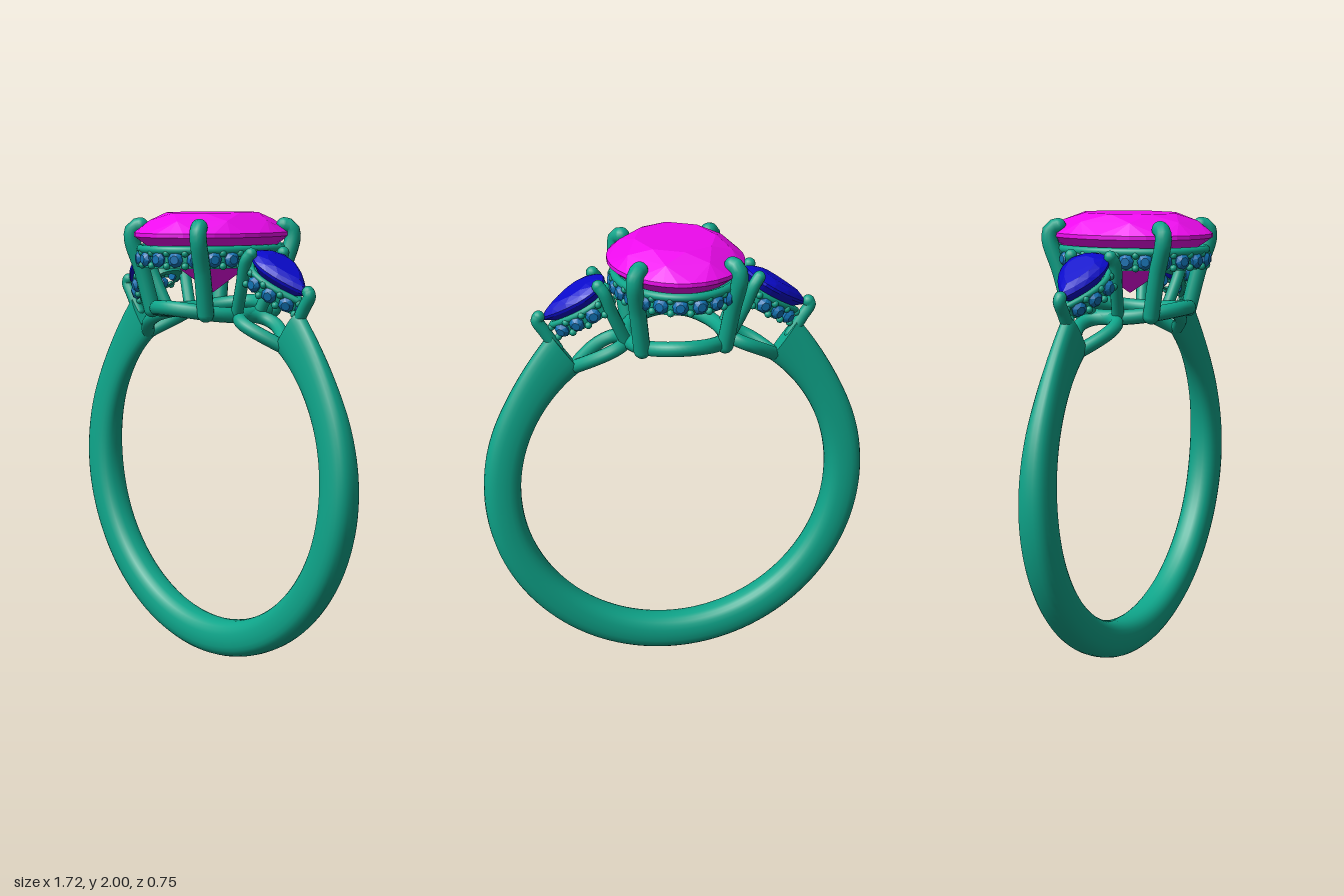
import * as THREE from 'three';
import { toCreasedNormals } from 'three/addons/utils/BufferGeometryUtils.js';
import { ConvexGeometry } from 'three/addons/geometries/ConvexGeometry.js';

const CY = 0.865, INNER = 0.697; // finger hole centre height and radius
const V = (x, y, z) => new THREE.Vector3(x, y, z);
const metal = new THREE.MeshStandardMaterial({ color: 0x0ea58a });
const gemMaterial = (color) => new THREE.MeshStandardMaterial({ color, flatShading: true });
const magenta = gemMaterial(0xee0aee), navy = gemMaterial(0x0a0acc), azure = gemMaterial(0x1173b4);

function add(parent, name, geometry, material = metal) {
  const mesh = new THREE.Mesh(geometry, material);
  mesh.name = name;
  parent.add(mesh);
  return mesh;
}

// Outlines in the xz plane, a = 0 at +x
const oval = (rx, rz) => (a) => V(rx * Math.cos(a), 0, rz * Math.sin(a));
const pear = (rx, rz) => (a) => V(rx * Math.cos(a), 0, 1.3 * rz * Math.sin(a) * Math.sin(a / 2));
const sample = (outline, n, shift = 0) =>
  Array.from({ length: n }, (_, i) => outline(((i + shift) / n) * Math.PI * 2));

// Faceted stone: rows of [scale, height, count, shift] wrapped in a convex hull
function cutStone(outline, rows) {
  const points = [];
  for (const [s, y, n, shift] of rows)
    for (const p of sample(outline, n, shift)) points.push(V(p.x * s, y, p.z * s));
  return new ConvexGeometry(points);
}

// Round wire with domed ends
function prong(parent, name, points, r) {
  const group = new THREE.Group();
  group.name = name;
  parent.add(group);
  add(group, 'wire', new THREE.TubeGeometry(new THREE.CatmullRomCurve3(points), 20, r, 14));
  for (const p of [points[0], points[points.length - 1]])
    add(group, 'dome', new THREE.SphereGeometry(r, 14, 10)).position.copy(p);
}

function closedWire(parent, name, points, r) {
  const curve = new THREE.CatmullRomCurve3(points, true);
  return add(parent, name, new THREE.TubeGeometry(curve, 80, r, 12, true));
}

// Upright wall following an outline, from height y0 to y1
function wall(parent, name, outline, inner, y0, y1) {
  const flat = (o) => sample(o, 64).map((p) => new THREE.Vector2(p.x, -p.z));
  const shape = new THREE.Shape(flat(outline));
  shape.holes.push(new THREE.Path(flat(inner)));
  const geo = new THREE.ExtrudeGeometry(shape, { depth: y1 - y0, bevelEnabled: false });
  geo.rotateX(-Math.PI / 2).translate(0, y0, 0);
  add(parent, name, toCreasedNormals(geo, 0.6));
}

// Small stones facing outwards, with beads between them
const smallStone = cutStone(oval(0.034, 0.034), [[0.55, 0.024, 8, 0], [1, 0.008, 8, 0.5], [0.7, -0.02, 8, 0]]);
const bead = new THREE.SphereGeometry(0.016, 10, 8);
function pave(parent, outline, y, n, minX) {
  const curve = new THREE.CatmullRomCurve3(sample(outline, 48), true);
  const place = (name, geo, mat, t, dy, out) => {
    const p = curve.getPointAt(t), d = curve.getTangentAt(t);
    if (p.x < minX) return;
    const normal = V(d.z, 0, -d.x).normalize();
    const mesh = add(parent, name, geo, mat);
    mesh.position.copy(p).addScaledVector(normal, out).setY(y + dy);
    mesh.quaternion.setFromUnitVectors(V(0, 1, 0), normal);
  };
  for (let i = 0; i < n; i++) {
    place('smallStone', smallStone, azure, (i + 0.5) / n, 0, 0.004);
    for (const dy of [-0.027, 0.027]) place('bead', bead, metal, i / n, dy, 0.008);
  }
}

// Band: a partial torus reshaped so it narrows and rises towards the shoulders
function shankGeometry() {
  const N = 120, start = 36.5;
  const geo = new THREE.TorusGeometry(1, 0.2, 24, N, Math.PI * 2);
  const pos = geo.attributes.position, uv = geo.attributes.uv;
  for (let i = 0; i < pos.count; i++) {
    const step = Math.round(uv.getX(i) * N), v = uv.getY(i) * Math.PI * 2;
    const s = Math.min(Math.max((step - 1) / (N - 2), 0), 1);
    const deg = start + s * (360 - 2 * start);
    const fromTop = Math.min(deg, 360 - deg);
    const rise = Math.max(0, (65 - fromTop) / 28);
    const outer = 0.862 + 0.053 * rise * rise;
    const halfWidth = 0.037 + 0.038 * THREE.MathUtils.smoothstep(fromTop, 30, 105);
    const round = (c) => Math.sign(c) * Math.abs(c) ** 0.8;
    const open = step === 0 || step === N ? 0 : 1; // first and last rings close the ends
    const r = (INNER + outer) / 2 + (open * (outer - INNER) / 2) * round(Math.cos(v));
    const a = THREE.MathUtils.degToRad(90 + deg);
    pos.setXYZ(i, r * Math.cos(a), CY + r * Math.sin(a), open * halfWidth * round(Math.sin(v)));
  }
  return toCreasedNormals(geo, 0.9);
}

// Side setting on +x: pear stone, rail, prongs and lower loop
function sideSetting() {
  const side = new THREE.Group();

  const head = new THREE.Group();
  head.name = 'sideHead';
  head.position.set(0.44, 1.755, 0);
  head.rotation.z = -0.57;
  side.add(head);
  add(head, 'sideStone', cutStone(pear(0.158, 0.106), [
    [0.6, 0.035, 12, 0], [0.85, 0.022, 12, 0.5], [1, 0.006, 24, 0], [1, -0.006, 24, 0],
    [0.6, -0.055, 12, 0.5], [0.1, -0.09, 6, 0]]), navy);
  wall(head, 'sideRailWall', pear(0.142, 0.092), pear(0.108, 0.066), -0.115, -0.045);
  closedWire(head, 'sideRail', sample(pear(0.142, 0.092), 40).map((p) => p.setY(-0.046)), 0.014);
  pave(head, pear(0.142, 0.092), -0.08, 9, -0.11);

  // Teardrop loop bent around the finger hole
  const loop = sample(pear(1, 0.085), 40).map((p) => {
    const a = THREE.MathUtils.degToRad(27.5 + 10 * p.x), r = INNER + 0.031;
    return V(r * Math.sin(a), CY + r * Math.cos(a), p.z);
  });
  closedWire(side, 'sideLowerLoop', loop, 0.03);

  for (const s of [1, -1])
    prong(side, 'sideProng', [V(0.225, 1.565, 0.065 * s), V(0.285, 1.7, 0.09 * s),
      V(0.322, 1.8, 0.104 * s), V(0.345, 1.832, 0.095 * s)], 0.027);
  prong(side, 'tipProng', [V(0.515, 1.53, 0), V(0.565, 1.61, 0), V(0.598, 1.665, 0), V(0.59, 1.68, 0)], 0.027);
  return side;
}

export function createModel() {
  const ring = new THREE.Group();
  ring.name = 'ring';
  add(ring, 'shank', shankGeometry());

  // Centre stone
  add(ring, 'centreStone', cutStone(oval(0.292, 0.376), [
    [0.6, 2, 8, 0], [0.82, 1.967, 8, 0.5], [1, 1.915, 32, 0], [1, 1.898, 32, 0],
    [0.62, 1.81, 8, 0.5], [0.01, 1.65, 6, 0]]), magenta);

  // Jewelled rail under the centre stone
  const rail = new THREE.Group();
  rail.name = 'centreRail';
  ring.add(rail);
  wall(rail, 'railWall', oval(0.262, 0.342), oval(0.225, 0.305), 1.768, 1.85);
  closedWire(rail, 'upperRail', sample(oval(0.262, 0.347), 40).map((p) => p.setY(1.846)), 0.018);
  pave(rail, oval(0.262, 0.342), 1.806, 24, -1);

  // Lower oval loop bent around the finger hole
  const base = sample(oval(0.215, 0.268), 40).map((p) =>
    p.setY(CY + Math.sqrt((INNER + 0.033) ** 2 - p.x * p.x)));
  closedWire(ring, 'lowerLoop', base, 0.033);

  // Four claws
  for (const sx of [1, -1])
    for (const sz of [1, -1])
      prong(ring, 'centreProng', [V(0.178 * sx, 1.575, 0.2 * sz), V(0.2 * sx, 1.75, 0.238 * sz),
        V(0.219 * sx, 1.89, 0.278 * sz), V(0.212 * sx, 1.932, 0.272 * sz),
        V(0.194 * sx, 1.942, 0.25 * sz)], 0.036);

  // Matching settings on both sides
  for (const name of ['leftSetting', 'rightSetting']) {
    const side = sideSetting();
    side.name = name;
    if (name === 'rightSetting') side.rotation.y = Math.PI;
    ring.add(side);
  }
  return ring;
}
